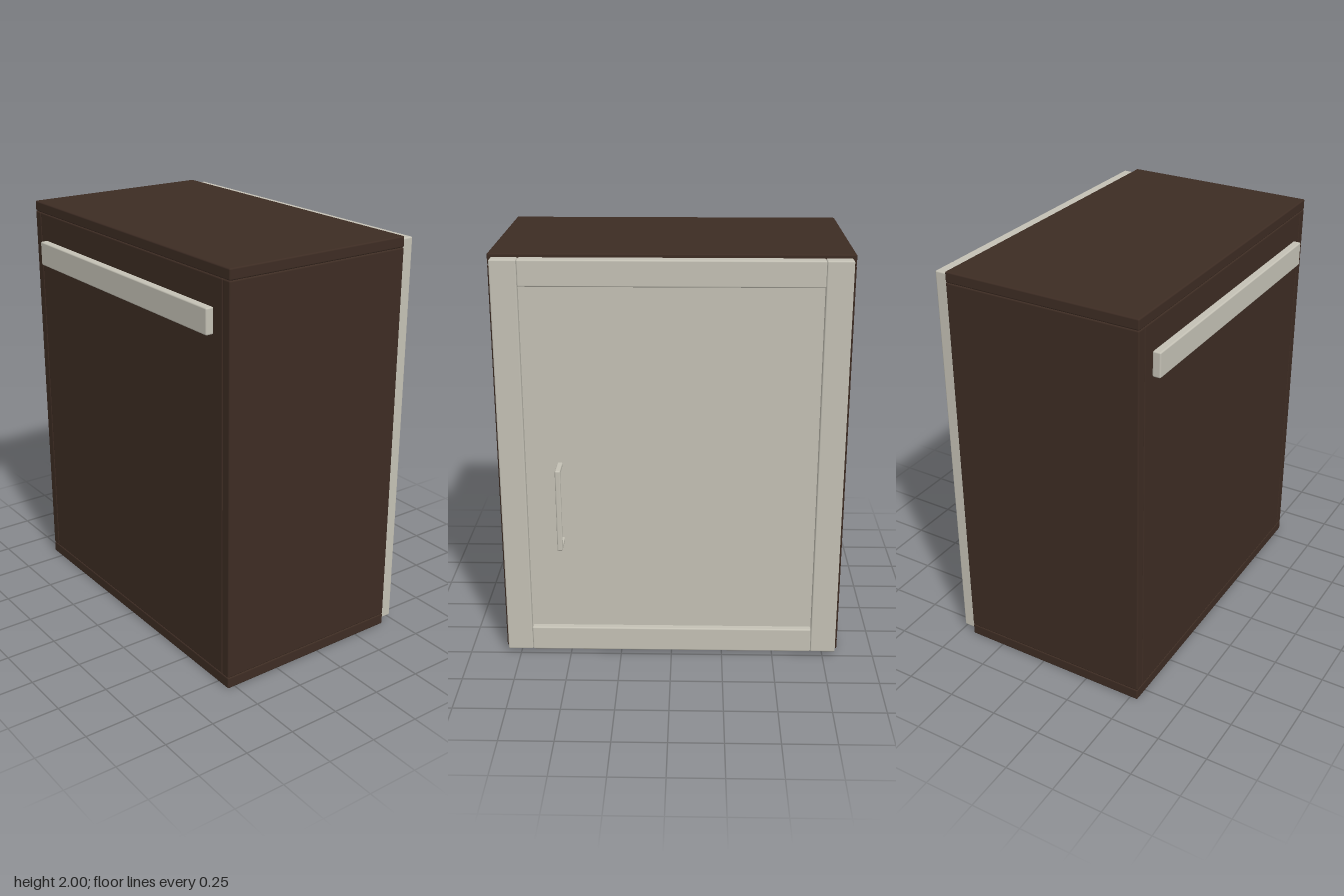
import * as THREE from 'three';
import { RoundedBoxGeometry } from 'three/addons/geometries/RoundedBoxGeometry.js';

export function createModel() {
  const cabinet = new THREE.Group();
  cabinet.name = 'cabinet';
  const darkWood = new THREE.MeshStandardMaterial({ color: 0x3d2c23 });
  darkWood.name = 'darkWood';
  const cream = new THREE.MeshStandardMaterial({ color: 0xc4c1b5 });
  cream.name = 'creamPaint';

  // Board with slightly eased edges, given by its extents on each axis
  function board(parent, name, material, [x0, x1], [y0, y1], [z0, z1], ease = 0.007) {
    const geometry = new RoundedBoxGeometry(x1 - x0, y1 - y0, z1 - z0, 2, ease);
    const mesh = new THREE.Mesh(geometry, material);
    mesh.name = name;
    mesh.position.set((x0 + x1) / 2, (y0 + y1) / 2, (z0 + z1) / 2);
    parent.add(mesh);
  }
  // Extent on the left (+x) side, or mirrored to the right
  const mirrored = (side, a, b) => (side > 0 ? [a, b] : [-b, -a]);

  // Carcass
  const depth = [-0.43, 0.54];
  board(cabinet, 'topBoard', darkWood, [-0.83, 0.83], [1.948, 2], depth);
  board(cabinet, 'bottomBoard', darkWood, [-0.83, 0.83], [0, 0.057], depth);
  board(cabinet, 'frontPanel', darkWood, [-0.78, 0.78], [0.057, 1.948], [0.49, 0.54]);
  for (const side of [1, -1]) {
    board(cabinet, side > 0 ? 'leftSide' : 'rightSide', darkWood,
      mirrored(side, 0.78, 0.83), [0.057, 1.948], depth);
  }

  // Hanging rail on the front
  board(cabinet, 'mountingRail', cream, [-0.72, 0.72], [1.695, 1.815], [0.54, 0.58]);

  // Framed door with a recessed panel
  const door = new THREE.Group();
  door.name = 'door';
  cabinet.add(door);
  const thickness = [-0.497, -0.432];
  for (const side of [1, -1]) {
    board(door, side > 0 ? 'leftStile' : 'rightStile', cream,
      mirrored(side, 0.69, 0.813), [0.02, 1.985], thickness);
  }
  board(door, 'topRail', cream, [-0.69, 0.69], [1.862, 1.985], thickness);
  board(door, 'bottomRail', cream, [-0.69, 0.69], [0.02, 0.143], thickness);
  board(door, 'doorPanel', cream, [-0.7, 0.7], [0.13, 1.875], [-0.465, -0.44], 0.003);

  // Pull handle: a bar on two posts
  const handle = new THREE.Group();
  handle.name = 'handle';
  door.add(handle);
  const grip = [0.515, 0.541];
  board(handle, 'handleBar', cream, grip, [0.6, 1.01], [-0.58, -0.558]);
  board(handle, 'lowerPost', cream, grip, [0.6, 0.622], [-0.57, -0.46]);
  board(handle, 'upperPost', cream, grip, [0.988, 1.01], [-0.57, -0.46]);

  return cabinet;
}
